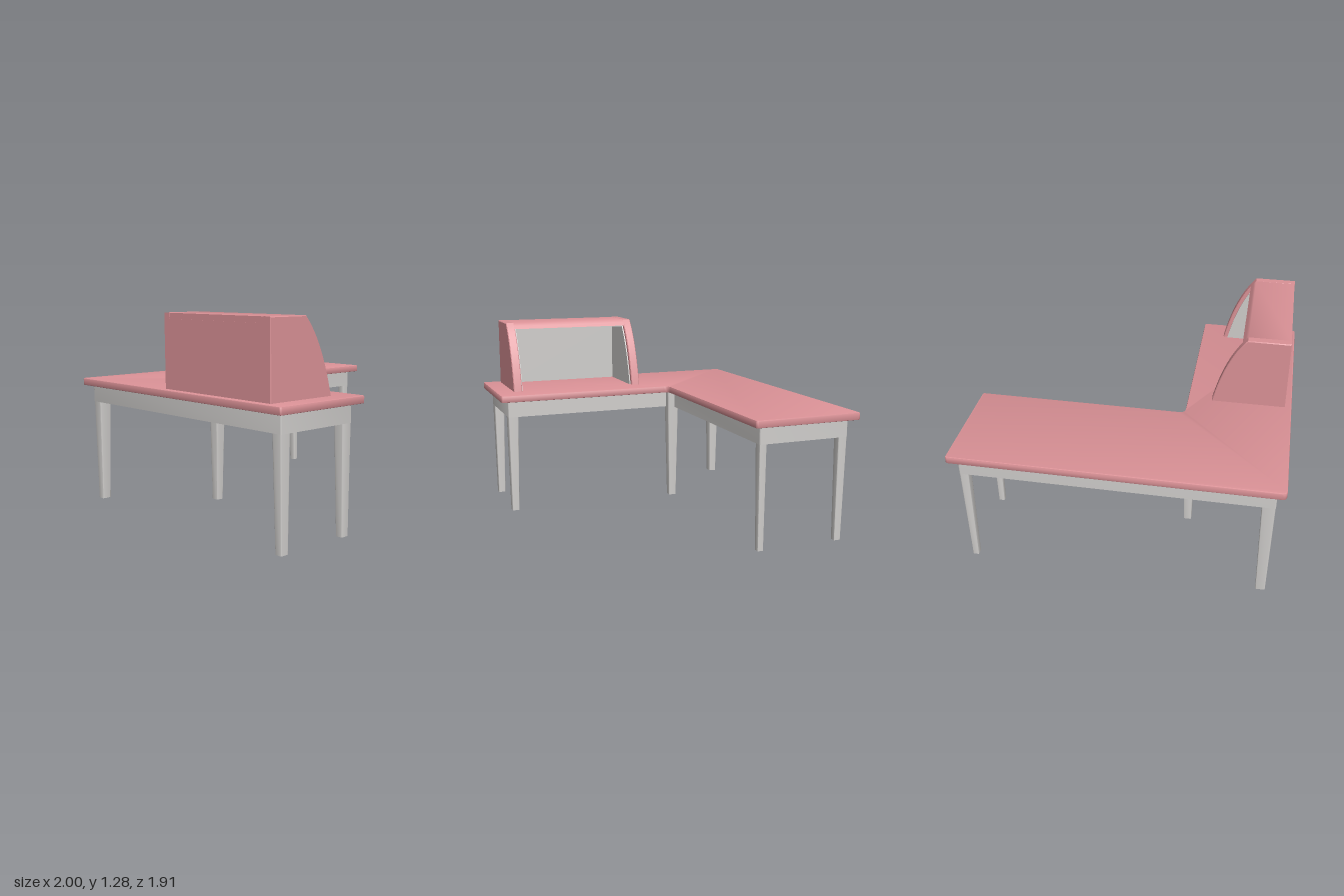
import * as THREE from 'three';
import { toCreasedNormals } from 'three/addons/utils/BufferGeometryUtils.js';

export function createModel() {
  const model = new THREE.Group();
  model.name = 'cornerDesk';
  const pink = new THREE.MeshStandardMaterial({ color: 0xdb9297 });
  pink.name = 'rosePaint';
  const grey = new THREE.MeshStandardMaterial({ color: 0xd0cecc });
  grey.name = 'paleGrey';

  const add = (name, geo, mat, parent = model, crease = 0.6) => {
    const mesh = new THREE.Mesh(toCreasedNormals(geo, crease), mat);
    mesh.name = name;
    parent.add(mesh);
    return mesh;
  };
  const box = (x0, x1, y0, y1, z0, z1) =>
    new THREE.BoxGeometry(x1 - x0, y1 - y0, z1 - z0)
      .translate((x0 + x1) / 2, (y0 + y1) / 2, (z0 + z1) / 2);

  // Closed outline with every corner rounded by its radius
  const rounded = (pts, radii) => {
    const s = new THREE.Shape();
    pts.forEach(([x, y], i) => {
      const p = new THREE.Vector2(x, y);
      const r = Array.isArray(radii) ? radii[i] : radii;
      const toward = j => {
        const q = new THREE.Vector2(...pts[(j + pts.length) % pts.length]);
        return q.sub(p).setLength(r).add(p);
      };
      const a = toward(i - 1), b = toward(i + 1);
      if (i) s.lineTo(a.x, a.y); else s.moveTo(a.x, a.y);
      s.quadraticCurveTo(x, y, b.x, b.y);
    });
    s.closePath();
    return s;
  };
  // L-shaped plan, inset from the table edge; plan y becomes z
  const plan = d => [
    [-1 + d, -0.957 + d], [1 - d, -0.957 + d], [1 - d, -0.248 - d],
    [-0.335 - d, -0.248 - d], [-0.335 - d, 0.957 - d], [-1 + d, 0.957 - d],
  ];
  // Extrude a plan downward from y = top
  const slab = (shape, top, bottom, bevel = 0) => new THREE.ExtrudeGeometry(shape, {
    depth: top - bottom - 2 * bevel, curveSegments: 5,
    bevelEnabled: bevel > 0, bevelThickness: bevel, bevelSize: bevel,
    bevelOffset: -bevel, bevelSegments: 2,
  }).rotateX(Math.PI / 2).translate(0, top - bevel, 0);

  // Table top
  add('tableTop', slab(rounded(plan(0), [0.03, 0.015, 0.015, 0.04, 0.015, 0.015]), 0.82, 0.774, 0.006), pink);

  // Apron frame and the underside panel set into it
  const frame = rounded(plan(0.053), 0.01);
  frame.holes.push(rounded(plan(0.083), 0.01));
  add('apron', slab(frame, 0.776, 0.663), grey);
  add('undersidePanel', slab(rounded(plan(0.078), 0.01), 0.776, 0.725), grey);

  // Tapered legs: outer corner, growth direction, then top and bottom widths along x and z
  const legs = [
    [-0.947, 0.904, 1, -1, 0.075, 0.055, 0.074, 0.048],
    [-0.388, 0.904, -1, -1, 0.075, 0.055, 0.074, 0.048],
    [-0.947, -0.904, 1, 1, 0.085, 0.06, 0.082, 0.053],
    [0.947, -0.904, -1, 1, 0.06, 0.038, 0.06, 0.045],
    [0.947, -0.301, -1, -1, 0.06, 0.038, 0.048, 0.038],
    [-0.42, -0.332, 1, 1, 0.08, 0.05, 0.082, 0.053],
  ];
  for (const [x, z, sx, sz, topX, lowX, topZ, lowZ] of legs) {
    const geo = slab(rounded([[-0.5, -0.5], [0.5, -0.5], [0.5, 0.5], [-0.5, 0.5]], 0.15), 0.77, 0);
    const p = geo.attributes.position;
    for (let i = 0; i < p.count; i++) {
      const low = p.getY(i) < 0.1;
      const inset = low ? 0.01 : 0, wx = low ? lowX : topX, wz = low ? lowZ : topZ;
      p.setX(i, x + p.getX(i) * wx + sx * (wx / 2 + inset));
      p.setZ(i, z + p.getZ(i) * wz + sz * (wz / 2 + inset));
    }
    add('leg', geo, grey);
  }

  // Hutch with curved cheeks, open toward +x
  const hutch = new THREE.Group();
  hutch.name = 'hutch';
  model.add(hutch);
  const V = (x, y) => new THREE.Vector2(x, y);
  const arc = new THREE.QuadraticBezierCurve(V(-0.69, 1.276), V(-0.555, 1.13), V(-0.486, 0.812)).getPoints(16);
  const cheek = new THREE.Shape([V(-0.957, 0.812), V(-0.957, 1.276), ...arc]);
  const panel = (shape, z0, z1, bevel = 0) => new THREE.ExtrudeGeometry(shape, {
    depth: z1 - z0 - 2 * bevel, bevelEnabled: bevel > 0, bevelThickness: bevel,
    bevelSize: bevel, bevelOffset: -bevel, bevelSegments: 1,
  }).translate(0, 0, z0 + bevel);

  add('hutchCheek', panel(cheek, -0.083, -0.025, 0.005), pink, hutch);
  add('hutchCheek', panel(cheek, 0.78, 0.838, 0.005), pink, hutch);
  const lip = arc.filter(q => q.y > 1.237);
  const roof = new THREE.Shape([V(-0.955, 1.235), V(-0.955, 1.275), ...lip, V(-0.656, 1.235)]);
  add('hutchRoof', panel(roof, -0.03, 0.785), pink, hutch, 0.95);
  add('hutchBack', box(-0.957, -0.915, 0.815, 1.24, -0.03, 0.785), pink, hutch);

  // Grey lining inside the hutch
  const inner = arc.filter(q => q.y < 1.23).map(q => V(q.x - 0.028, q.y));
  const liner = new THREE.Shape([V(-0.916, 0.815), V(-0.916, 1.236), V(-0.685, 1.236), ...inner]);
  add('sideLining', panel(liner, -0.026, -0.017), grey, hutch);
  add('sideLining', panel(liner, 0.772, 0.781), grey, hutch);
  add('roofLining', box(-0.916, -0.685, 1.227, 1.236, -0.026, 0.781), grey, hutch);
  add('backLining', box(-0.916, -0.907, 0.815, 1.236, -0.026, 0.781), grey, hutch);

  return model;
}
